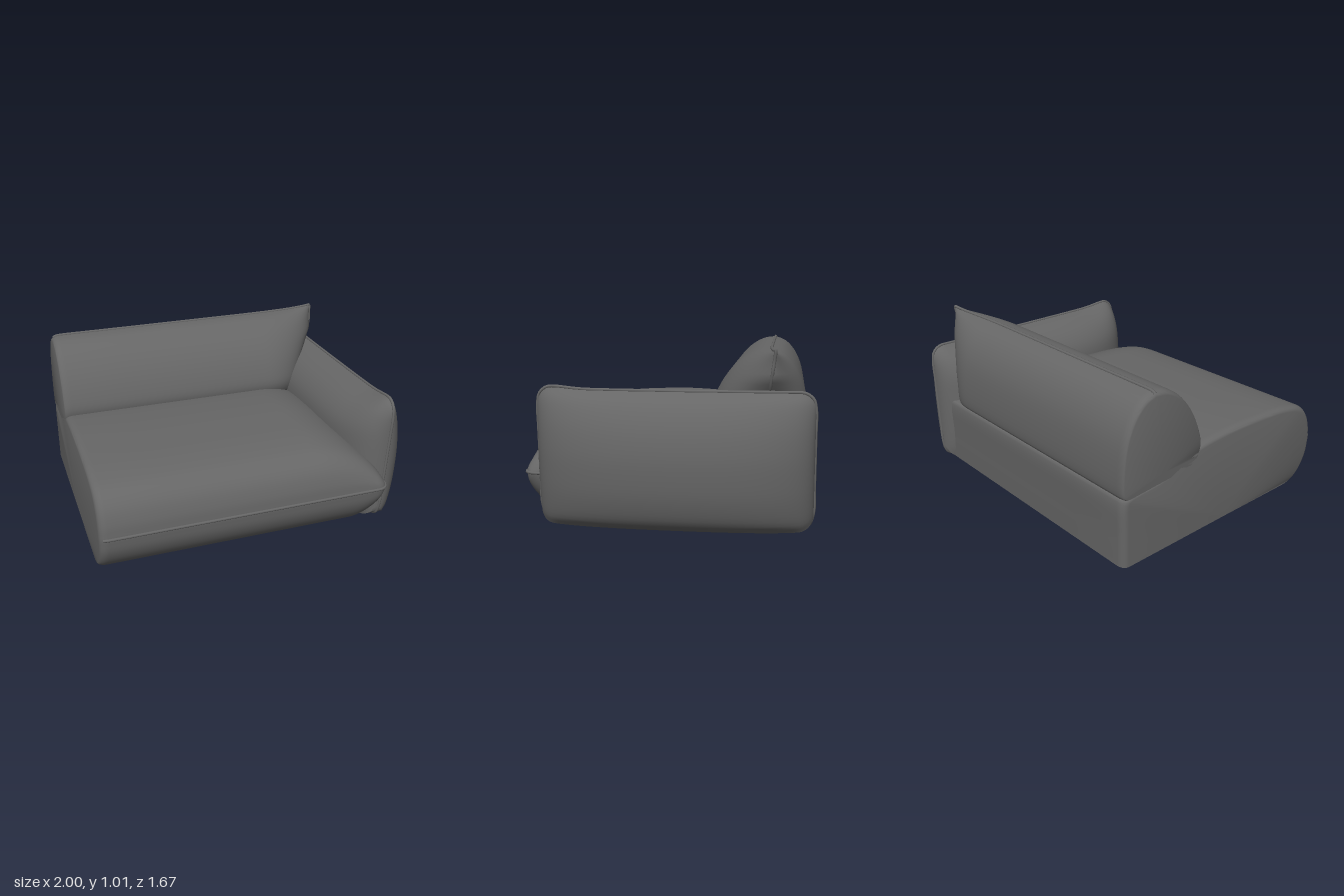
import * as THREE from 'three';
import { toCreasedNormals } from 'three/addons/utils/BufferGeometryUtils.js';

const fabric = new THREE.MeshStandardMaterial({ color: 0x666666, side: THREE.DoubleSide });
fabric.name = 'greyFabric';

const V = (x, y, z) => new THREE.Vector3(x, y, z);
const clamp01 = (t) => THREE.MathUtils.clamp(t, 0, 1);

// Smooth 2D curve through a few points, resampled to n + 1 points
function smooth(pts, n) {
  const curve = new THREE.CatmullRomCurve3(pts.map(([a, b]) => V(a, b, 0)), false, 'centripetal');
  return curve.getPoints(n).map((p) => [p.x, p.y]);
}

// Skin over a row of cross-sections; capCentre closes the first one
function loft(rings, closed, capCentre) {
  const n = rings[0].length;
  const pos = rings.flat().flatMap((p) => [p.x, p.y, p.z]);
  const idx = [];
  const steps = closed ? n : n - 1;
  for (let i = 0; i < rings.length - 1; i++) {
    for (let j = 0; j < steps; j++) {
      const a = i * n + j, b = i * n + (j + 1) % n;
      idx.push(a, b, a + n, b, b + n, a + n);
    }
  }
  if (capCentre) {
    const c = pos.length / 3;
    pos.push(capCentre.x, capCentre.y, capCentre.z);
    for (let j = 0; j < steps; j++) idx.push(c, (j + 1) % n, j);
  }
  const g = new THREE.BufferGeometry();
  g.setAttribute('position', new THREE.Float32BufferAttribute(pos, 3));
  g.setIndex(idx);
  return toCreasedNormals(g, 0.7);
}

// Height lost at distance d from the end of a corner of radius r
const corner = (d, r) => (d >= r ? 0 : r - Math.sqrt(Math.max(0, r * r - (r - d) ** 2)));
// Pillow-like narrowing: 1 up to start, falling to 0 at end
function pinch(x, start, end, power) {
  const t = clamp01((x - start) / (end - start));
  return Math.max(0.01, (1 - t * t) ** power);
}

// Positions along x: rounded at the left end, denser towards the pinched end
function stations(start, end) {
  const xs = [-1, -0.997, -0.99, -0.978, -0.965, -0.95, -0.6, -0.2];
  for (let i = 0; i <= 24; i++) xs.push(start + (end - start) * Math.sin((i / 24) * Math.PI / 2));
  return xs;
}
const endScale = (x) => 1 - corner(x + 1, 0.05);

function add(group, name, geometry) {
  const m = new THREE.Mesh(geometry, fabric);
  m.name = name;
  group.add(m);
  return m;
}

function addPiping(group, name, pts) {
  const path = new THREE.CatmullRomCurve3(pts, false, 'centripetal');
  add(group, name, new THREE.TubeGeometry(path, 140, 0.009, 8));
}

// Seat: hollow below, bulging front, tapering into the arm but square at the rear
function buildSeat(group) {
  const seamY = 0.28, seamZ = 0.82, end = 0.76;
  const section = [
    ...smooth([[-0.785, 0.02], [-0.787, 0.2], [-0.787, 0.41], [-0.775, 0.432], [-0.5, 0.465], [-0.28, 0.55],
      [0, 0.578], [0.3, 0.575], [0.55, 0.555], [0.7, 0.515], [0.77, 0.45], [0.808, 0.36], [seamZ, seamY]], 60),
    ...smooth([[seamZ, seamY], [0.808, 0.19], [0.77, 0.11], [0.71, 0.05], [0.63, 0.02], [0.52, 0.02]], 18).slice(1),
  ];
  const place = (x, z, y) => {
    const s = endScale(x);
    const taper = y > seamY ? pinch(x, 0.32, end, 0.6) : pinch(x, 0.55, end, 0.5);
    const f = 1 + (taper - 1) * clamp01((z + 0.75) / 0.3);
    const zz = z - corner(end - x, 0.07) * Math.max(0, z / seamZ);
    return V(x, 0.02 + (seamY + (y - seamY) * f - 0.02) * s, zz * s);
  };
  const xs = stations(0.2, end);
  add(group, 'seat', loft(xs.map((x) => section.map(([z, y]) => place(x, z, y))), false, V(-1, 0.02, 0)));

  const seam = xs.slice(3).map((x) => place(x, seamZ, seamY));
  for (const z of [0.6, 0.4, 0.1, -0.3]) seam.push(V(end, seamY, z));
  addPiping(group, 'seatPiping', seam);

  // Flat strip under the seat beside the arm
  add(group, 'undersideRail', new THREE.BoxGeometry(0.17, 0.01, 1.36)).position.set(0.555, 0.025, -0.1);
}

// Back cushion: wedge with a seam along the top, pinched to an upright edge
function buildBack(group) {
  const end = 0.85, seamZ = -0.575, topY = 0.982;
  const section = [
    ...smooth([[-0.74, 0.432], [-0.78, 0.436], [-0.79, 0.455], [-0.79, 0.62], [-0.765, 0.77],
      [-0.715, 0.88], [-0.65, 0.95], [seamZ, topY]], 32),
    ...smooth([[seamZ, topY], [-0.49, 0.968], [-0.39, 0.91], [-0.3, 0.805], [-0.235, 0.67],
      [-0.215, 0.57], [-0.25, 0.49], [-0.32, 0.46]], 28).slice(1),
  ];
  const place = (x, z, y) => {
    const s = endScale(x);
    const t = Math.max(0, (x - 0.3) / 0.55);
    const lean = -0.035 * t * t * clamp01((y - 0.75) / 0.25);
    const f = z > seamZ ? pinch(x, 0.4, end, 0.7) : pinch(x, 0.48, end, 0.6);
    const zz = seamZ + (z - seamZ) * f + lean;
    const lift = 1 + 0.012 * (x + 1) / 1.85 + 0.02 * t ** 6;
    // the lower part of the pinched edge tucks into the arm
    const tuck = 0.22 * t ** 4 * clamp01((0.84 - y) / 0.3) + 0.01 * t ** 4 * Math.sin(Math.PI * clamp01((y - 0.78) / 0.2));
    return V(x - tuck, 0.43 + (y - 0.43) * s * lift, -0.5 + (zz + 0.5) * s);
  };
  const xs = stations(0.3, end);
  add(group, 'backCushion', loft(xs.map((x) => section.map(([z, y]) => place(x, z, y))), true, V(-1, 0.5, -0.5)));

  const seam = xs.slice(2).map((x) => place(x, seamZ, topY));
  for (const y of [0.93, 0.87, 0.8, 0.72, 0.64]) seam.push(place(end, seamZ, y));
  addPiping(group, 'backPiping', seam);
}

// Arm: upright pillow with a flat foot and a seam around its outline
function buildArm(group) {
  const mid = -0.057, half = 0.77, topY = 0.777;
  const seamX = (y) => 0.755 + 0.055 * (y / 0.8);
  const section = [
    ...smooth([[0.13, 0.01], [0.185, 0.06], [0.22, 0.18], [0.225, 0.33], [0.21, 0.46],
      [0.165, 0.6], [0.09, 0.715], [0, topY]], 28),
    ...smooth([[0, topY], [-0.07, 0.755], [-0.17, 0.69], [-0.235, 0.59], [-0.25, 0.45],
      [-0.235, 0.25], [-0.19, 0.08], [-0.14, 0.01]], 28).slice(1),
  ];
  const place = (u, dx, y) => {
    const z = mid + half * u;
    const cut = corner(half * (1 - Math.abs(u)), 0.085);
    const bump = 0.015 * Math.exp(-(((z - 0.63) / 0.12) ** 2)) - 0.004 * (1 - u * u);
    const yy = 0.01 + cut + ((y - 0.01) / (topY - 0.01)) * (topY - 0.01 + bump - 2 * cut);
    const f = Math.max(0.02, (1 - Math.abs(u) ** (dx > 0 ? 2.6 : 3.3)) ** 0.45);
    return V(seamX(yy) + dx * f, yy, z);
  };
  const us = Array.from({ length: 57 }, (_, i) => -Math.cos((i / 56) * Math.PI));
  add(group, 'arm', loft(us.map((u) => section.map(([dx, y]) => place(u, dx, y))), true));

  const rise = [0.03, 0.2, 0.4, 0.6, 0.75];
  addPiping(group, 'armPiping', [
    place(-0.93, 0, 0.01), place(-0.97, 0, 0.01),
    ...rise.map((y) => place(-1, 0, y)),
    ...us.slice(3, -3).map((u) => place(u, 0, topY)),
    ...rise.reverse().map((y) => place(1, 0, y)),
    place(0.97, 0, 0.01), place(0.93, 0, 0.01),
  ]);
}

export function createModel() {
  const group = new THREE.Group();
  group.name = 'sofaModule';
  buildSeat(group);
  buildBack(group);
  buildArm(group);

  // Low round feet
  for (const x of [-0.91, 0.72]) {
    for (const z of [-0.66, 0.59]) {
      add(group, 'foot', new THREE.CylinderGeometry(0.036, 0.036, 0.03, 20)).position.set(x, 0.015, z);
    }
  }
  return group;
}
